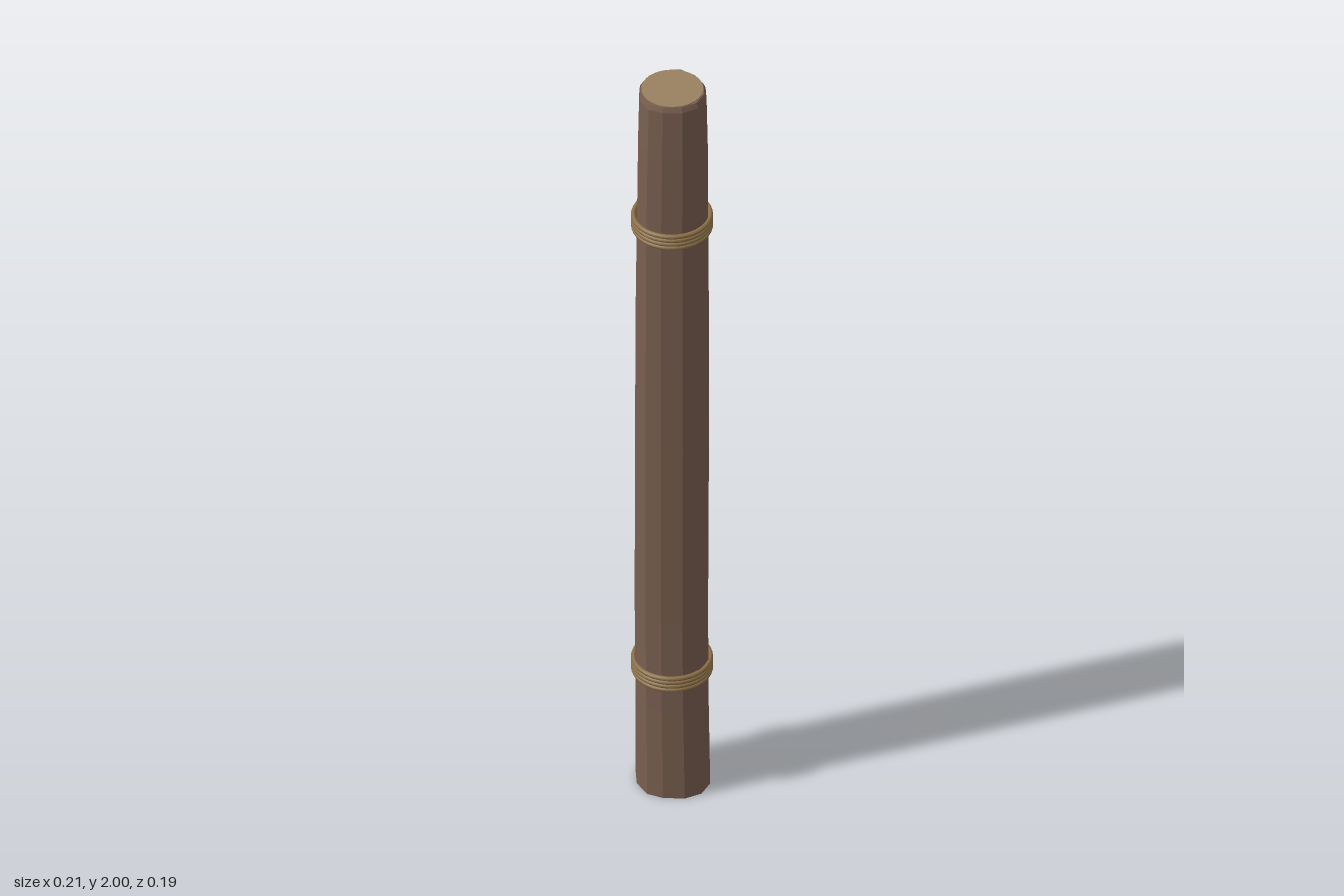
import * as THREE from 'three';

const bark = new THREE.MeshStandardMaterial({ color: 0x7a5f50 });
bark.name = 'bark';
const cutWood = new THREE.MeshStandardMaterial({ color: 0x9a8060 });
cutWood.name = 'cut wood';
const rope = new THREE.MeshStandardMaterial({ color: 0x8c7048 });
rope.name = 'rope';

// Rough hewn outline [x, z], counter-clockwise seen from above
const outline = [
  [-0.098, 0], [-0.084, 0.035], [-0.05, 0.071], [-0.008, 0.085], [0.035, 0.073], [0.066, 0.04],
  [0.077, 0], [0.069, -0.045], [0.037, -0.073], [-0.008, -0.086], [-0.053, -0.075], [-0.085, -0.043],
];
// Height, x scale, z scale, z shift
const rings = [
  [0, 0.98, 1.06, 0.003], [0.25, 0.98, 1.03, 0.0], [0.5, 0.99, 1.03, -0.002], [1, 1.01, 1.03, 0],
  [1.4, 1.01, 1.01, 0.001], [1.65, 1, 0.97, 0.002], [1.85, 0.97, 0.96, 0.003], [1.985, 0.93, 0.93, 0.003], [1.998, 0.88, 0.89, 0.001],
];

// Faceted trunk with closed ends
function trunkGeometry() {
  const pos = [];
  const n = outline.length;
  const point = (r, i) => {
    const [y, sx, sz, dz] = rings[r];
    const [x, z] = outline[i % n];
    return [-0.009 + (x + 0.009) * sx, y, z * sz + dz];
  };
  const last = rings.length - 1;
  for (let i = 0; i < n; i++) {
    for (let r = 0; r < last; r++) {
      const a = point(r, i), b = point(r, i + 1), c = point(r + 1, i + 1), d = point(r + 1, i);
      pos.push(...a, ...b, ...c, ...a, ...c, ...d);
    }
    pos.push(-0.009, 0, 0, ...point(0, i + 1), ...point(0, i));
    pos.push(-0.009, rings[last][0], 0, ...point(last, i), ...point(last, i + 1));
  }
  const g = new THREE.BufferGeometry();
  g.setAttribute('position', new THREE.Float32BufferAttribute(pos, 3));
  g.computeVertexNormals();
  return g;
}

function add(parent, name, geometry, material, x = 0, y = 0, z = 0) {
  const mesh = new THREE.Mesh(geometry, material);
  mesh.name = name;
  mesh.position.set(x, y, z);
  parent.add(mesh);
  return mesh;
}

// Four rope turns and a loose hanging end
function binding(name, y) {
  const group = new THREE.Group();
  group.name = name;
  group.position.y = y;
  const turn = new THREE.TorusGeometry(0.0895, 0.0058, 8, 40).rotateX(Math.PI / 2);
  for (let i = 0; i < 4; i++) add(group, 'ropeTurn', turn, rope, -0.009, (i - 1.5) * 0.0105, -0.001);
  const path = new THREE.CatmullRomCurve3([
    new THREE.Vector3(0.072, -0.005, 0),
    new THREE.Vector3(0.083, -0.04, -0.006),
    new THREE.Vector3(0.095, -0.075, -0.011),
    new THREE.Vector3(0.097, -0.1, -0.014),
    new THREE.Vector3(0.094, -0.122, -0.016),
  ]);
  add(group, 'looseRopeEnd', new THREE.TubeGeometry(path, 14, 0.005, 7), rope);
  const tip = path.getPoint(1);
  add(group, 'ropeTip', new THREE.SphereGeometry(0.005, 8, 6), rope, tip.x, tip.y, tip.z);
  return group;
}

export function createModel() {
  const model = new THREE.Group();
  model.name = 'woodenPost';
  add(model, 'trunk', trunkGeometry(), bark);
  // Sawn top face
  add(model, 'cutTop', new THREE.CylinderGeometry(0.072, 0.072, 0.004, 32), cutWood, -0.008, 1.998, -0.001);
  model.add(binding('upperBinding', 1.62), binding('lowerBinding', 0.336));
  return model;
}
